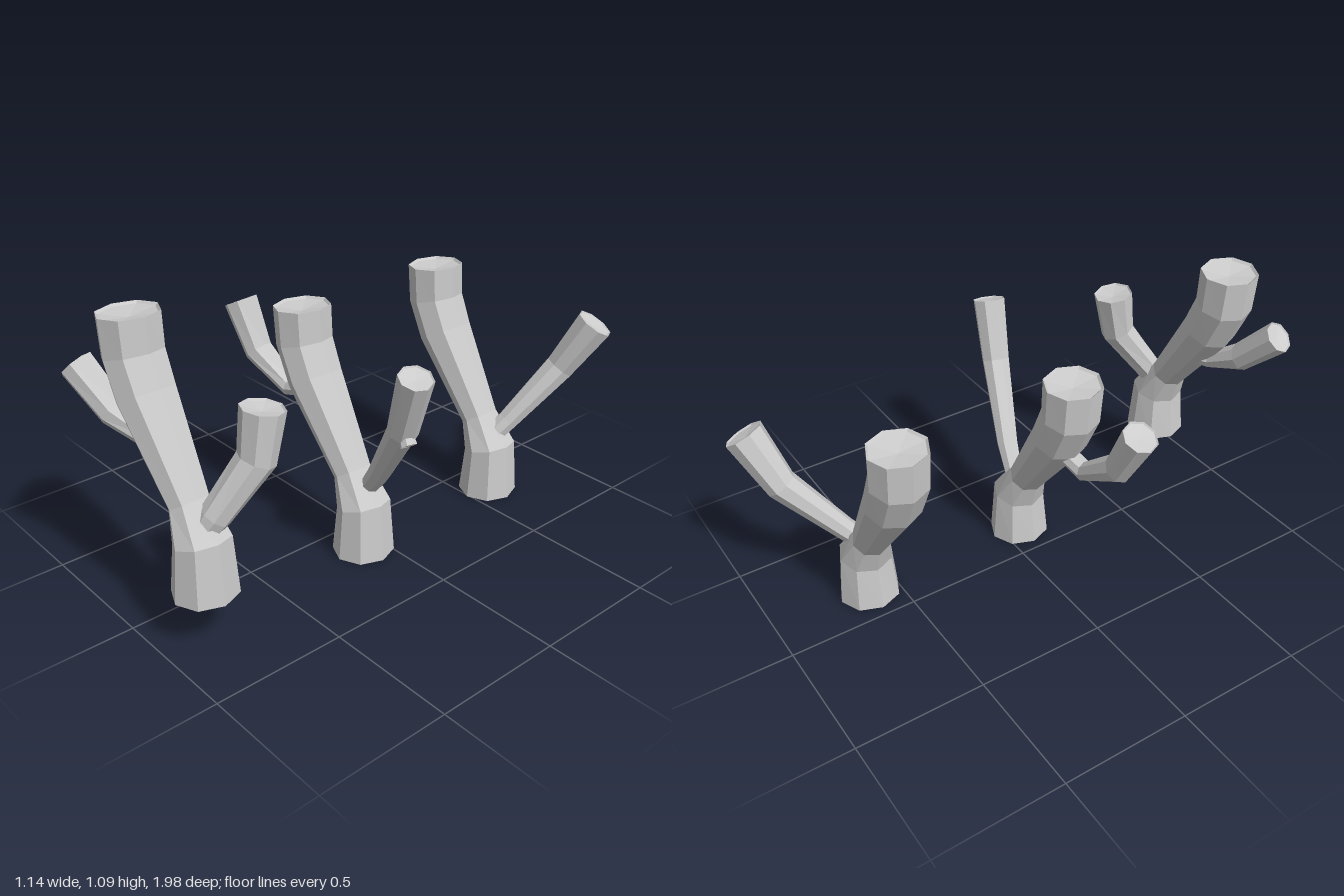
import * as THREE from 'three';

const SIDES = 8;
const material = new THREE.MeshStandardMaterial({ color: 0xcccccc, flatShading: true, side: THREE.DoubleSide });

// Faceted limb through points [x, y, z, radius]: open at the root, with a dished cut at the tip.
function limb(name, points, squash = 1) {
  const centres = points.map(p => new THREE.Vector3(p[0], p[1], p[2]));
  const last = centres.length - 1;
  const positions = [];
  const index = [];

  const direction = (i) => centres[i + 1].clone().sub(centres[i]).normalize();
  const tangentAt = (i) => {
    if (i === 0) return direction(0);
    if (i === last) return direction(last - 1);
    return direction(i - 1).add(direction(i)).normalize();
  };
  const addRing = (centre, tangent, radius) => {
    const u = new THREE.Vector3(0, 0, 1).addScaledVector(tangent, -tangent.z).normalize();
    const v = new THREE.Vector3().crossVectors(tangent, u);
    for (let s = 0; s < SIDES; s++) {
      const a = (s / SIDES) * Math.PI * 2;
      const p = centre.clone()
        .addScaledVector(u, Math.cos(a) * radius)
        .addScaledVector(v, Math.sin(a) * radius * squash);
      positions.push(p.x, p.y, p.z);
    }
  };

  centres.forEach((c, i) => addRing(c, tangentAt(i), points[i][3]));

  // Thin rim and shallow hollow at the cut end
  const tip = tangentAt(last);
  const r = points[last][3];
  addRing(centres[last].clone().addScaledVector(tip, -r * 0.08), tip, r * 0.92);
  const middle = centres[last].clone().addScaledVector(tip, -r * 0.2);
  positions.push(middle.x, middle.y, middle.z);

  const rings = last + 2;
  for (let j = 0; j < rings; j++) {
    for (let s = 0; s < SIDES; s++) {
      const a = j * SIDES + s;
      const b = j * SIDES + (s + 1) % SIDES;
      if (j < rings - 1) index.push(a, b, a + SIDES, b, b + SIDES, a + SIDES);
      else index.push(a, b, rings * SIDES);
    }
  }

  const geometry = new THREE.BufferGeometry();
  geometry.setAttribute('position', new THREE.Float32BufferAttribute(positions, 3));
  geometry.setIndex(index);
  geometry.computeVertexNormals();
  const mesh = new THREE.Mesh(geometry, material);
  mesh.name = name;
  return mesh;
}

// The shared leaning trunk: flared foot, narrow neck, thick upper stem
const trunk = () => limb('trunk', [
  [0.15, 0, 0, 0.12],
  [0.15, 0.2, 0, 0.104],
  [0.085, 0.31, 0, 0.074],
  [-0.125, 0.62, 0, 0.107],
  [-0.185, 0.75, 0, 0.11],
  [-0.195, 0.89, 0, 0.111],
], 0.94);

// Each tree: position of its trunk and its side branches, in model coordinates
const trees = [
  {
    name: 'frontTree', at: [0.06, 0.19, 0.83],
    branches: {
      leftBranch: [
        [0.215, 0.42, 0.83, 0.045], [0.24, 0.48, 0.795, 0.055],
        [0.305, 0.67, 0.67, 0.068], [0.312, 0.845, 0.643, 0.077],
      ],
      rightBranch: [
        [-0.02, 0.66, 0.82, 0.03], [-0.07, 0.66, 0.845, 0.034],
        [-0.19, 0.72, 0.885, 0.054], [-0.328, 0.86, 0.932, 0.062],
      ],
    },
  },
  {
    name: 'middleTree', at: [0, 0, 0.08],
    branches: {
      leftBranch: [
        [0.16, 0.27, 0.065, 0.035], [0.24, 0.37, 0.085, 0.042],
        [0.43, 0.64, 0.155, 0.055], [0.51, 0.87, 0.178, 0.063],
      ],
      twigStub: [[0.435, 0.66, 0.16, 0.024], [0.475, 0.605, 0.17, 0.03]],
      rightBranch: [
        [-0.13, 0.57, 0.08, 0.036], [-0.26, 0.54, 0.095, 0.038],
        [-0.42, 0.645, 0.12, 0.055], [-0.512, 0.828, 0.13, 0.066],
      ],
    },
  },
  {
    name: 'backTree', at: [0, 0, -0.61],
    branches: {
      leftBranch: [
        [0.16, 0.25, -0.61, 0.04], [0.19, 0.31, -0.665, 0.043],
        [0.29, 0.53, -0.845, 0.06], [0.385, 0.725, -0.92, 0.076],
      ],
    },
  },
];

export function createModel() {
  const model = new THREE.Group();
  model.name = 'branchingStems';
  for (const { name, at, branches } of trees) {
    const tree = new THREE.Group();
    tree.name = name;
    const stem = trunk();
    stem.position.set(...at);
    tree.add(stem);
    for (const [branchName, points] of Object.entries(branches)) tree.add(limb(branchName, points));
    model.add(tree);
  }
  return model;
}
